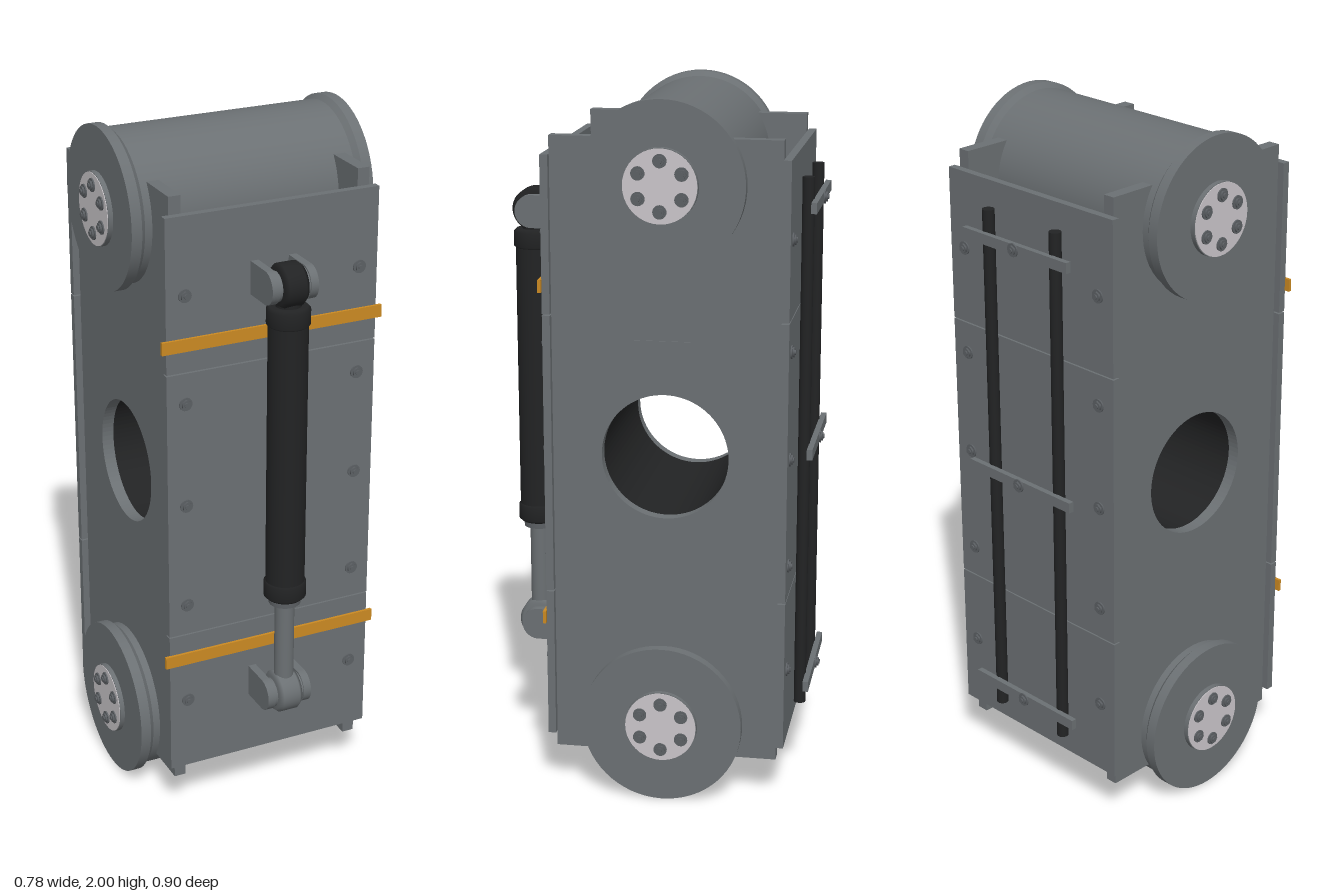
import * as THREE from 'three';

const mat = (name, color) => {
  const m = new THREE.MeshStandardMaterial({ color });
  m.name = name;
  return m;
};

export function createModel() {
  const steel = mat('grey steel', 0x6b7073);
  const fixing = mat('dark fixing grey', 0x5c6064);
  const black = mat('black', 0x222324);
  const hubLight = mat('pale hub metal', 0xcac6ca);
  const orange = mat('orange band', 0xcb8a22);

  const root = new THREE.Group();
  root.name = 'twinDrumUnit';
  const CZ = -0.04; // drum and hole axis

  const add = (name, geo, material, x = 0, y = 0, z = 0, parent = root) => {
    const m = new THREE.Mesh(geo, material);
    m.name = name;
    m.position.set(x, y, z);
    parent.add(m);
    return m;
  };
  const box = (name, material, x0, x1, y0, y1, z0, z1) =>
    add(name, new THREE.BoxGeometry(x1 - x0, y1 - y0, z1 - z0), material,
      (x0 + x1) / 2, (y0 + y1) / 2, (z0 + z1) / 2);
  const cylX = (r, w, seg = 40) => new THREE.CylinderGeometry(r, r, w, seg).rotateZ(Math.PI / 2);
  const cylZ = (r, w, seg = 20) => new THREE.CylinderGeometry(r, r, w, seg).rotateX(Math.PI / 2);

  // Extrudes a z-y outline along x from x0 to x1
  const slabX = (shape, x0, x1) =>
    new THREE.ExtrudeGeometry(shape, { depth: x1 - x0, bevelEnabled: false, curveSegments: 40 })
      .rotateY(-Math.PI / 2).translate(x1, 0, 0);
  const holedRect = (z0, z1, y0, y1) => {
    const s = new THREE.Shape();
    s.moveTo(z0, y0); s.lineTo(z1, y0); s.lineTo(z1, y1); s.lineTo(z0, y1); s.closePath();
    const hole = new THREE.Path();
    hole.absarc(CZ, 1.005, 0.178, 0, Math.PI * 2, true);
    s.holes.push(hole);
    return s;
  };

  // Washer, hex nut and stud, pointing along +y before it is turned
  const bolt = (name, x, y, z, axis, dir) => {
    const g = new THREE.Group();
    g.name = name;
    [[0.019, 0.004, 20, 0.002], [0.014, 0.007, 6, 0.006], [0.007, 0.013, 12, 0.0065]].forEach(([r, h, n, c], i) =>
      add(['washer', 'nut', 'stud'][i], new THREE.CylinderGeometry(r, r, h, n), fixing, 0, c, 0, g));
    if (axis === 'x') g.rotation.z = -dir * Math.PI / 2;
    else g.rotation.x = dir * Math.PI / 2;
    g.position.set(x, y, z);
    root.add(g);
  };

  // Side plates with round window, and the black core between them
  const side = holedRect(-0.36, 0.277, 0.12, 1.89);
  add('leftSidePlate', slabX(side, 0.26, 0.295), steel);
  add('rightSidePlate', slabX(side, -0.295, -0.26), steel);
  add('core', slabX(holedRect(-0.352, 0.265, 0.42, 1.59), -0.26, 0.26), black);
  box('sideTag', steel, 0.294, 0.298, 1.215, 1.335, -0.125, 0.045);

  // Front and back covers, each in three panels with narrow seams
  for (const [name, z0, z1] of [['frontPanel', 0.276, 0.298], ['backPanel', -0.383, -0.361]])
    for (const [y0, y1] of [[0.165, 0.598], [0.602, 1.398], [1.402, 1.84]])
      box(name, steel, -0.315, 0.315, y0, y1, z0, z1);
  for (const x of [-0.26, 0.26])
    for (const y of [0.385, 0.695, 1.005, 1.31, 1.62]) {
      bolt('frontBolt', x, y, 0.298, 'z', 1);
      bolt('backBolt', x, y, -0.383, 'z', -1);
    }

  // Orange bands
  for (const y of [0.524, 1.482])
    box('band', orange, -0.33, 0.33, y - 0.018, y + 0.018, 0.297, 0.306);

  // Drums with flanges, hubs and hub bolts
  const profile = [[0, -0.36], [0.228, -0.36], [0.228, -0.33], [0.214, -0.316],
    [0.214, 0.316], [0.228, 0.33], [0.228, 0.36], [0, 0.36]];
  // Separate lathe for each profile step keeps the edges sharp
  for (const cy of [0.232, 1.772]) {
    const drum = new THREE.Group();
    drum.name = 'drum';
    drum.position.set(0, cy, CZ);
    root.add(drum);
    for (let i = 0; i < profile.length - 1; i++) {
      const pts = [profile[i], profile[i + 1]].map(p => new THREE.Vector2(...p));
      add('drumShell', new THREE.LatheGeometry(pts, 64).rotateZ(Math.PI / 2), steel, 0, 0, 0, drum);
    }
    for (const s of [-1, 1]) {
      add('hub', cylX(0.103, 0.02), steel, s * 0.364, 0, 0, drum);
      add('hubFace', cylX(0.101, 0.004), hubLight, s * 0.374, 0, 0, drum);
      for (let i = 0; i < 6; i++) {
        const a = Math.PI / 2 + i * Math.PI / 3;
        bolt('hubBolt', s * 0.376, cy + 0.068 * Math.sin(a), CZ + 0.068 * Math.cos(a), 'x', s);
      }
    }
  }

  // Hydraulic ram on the front
  const RZ = 0.388;
  const cylY = (name, m, r, y0, y1) =>
    add(name, new THREE.CylinderGeometry(r, r, y1 - y0, 36), m, 0, (y0 + y1) / 2, RZ);
  cylY('ramBarrel', black, 0.055, 0.72, 1.575);
  for (const [y0, y1] of [[0.708, 0.765], [1.525, 1.582]]) {
    const h = y1 - y0, c = 0.008;
    const pts = [[0, 0], [0.06 - c, 0], [0.06, c], [0.06, h - c], [0.06 - c, h], [0, h]];
    add('ramCap', new THREE.LatheGeometry(pts.map(p => new THREE.Vector2(...p)), 36), black, 0, y0, RZ);
  }
  cylY('ramGland', fixing, 0.045, 0.69, 0.71);
  cylY('ramRod', steel, 0.028, 0.4, 0.7);
  cylY('ramNeck', black, 0.035, 1.575, 1.64);
  for (const y of [0.75, 1.545]) add('ramPort', cylZ(0.014, 0.05), black, 0, y, 0.325);

  // Ram eyes, pins and rounded lugs
  for (const [cy, m] of [[0.4, steel], [1.64, black]]) {
    const eye = [[0, -0.036], [0.052, -0.036], [0.061, -0.025], [0.061, 0.025], [0.052, 0.036], [0, 0.036]];
    add('ramEye', new THREE.LatheGeometry(eye.map(p => new THREE.Vector2(...p)), 36).rotateZ(Math.PI / 2),
      m, 0, cy, RZ - 0.003);
    add('ramPin', cylX(0.042, 0.1, 28), steel, 0, cy, RZ - 0.003);
    const lug = new THREE.Shape();
    lug.moveTo(0.296, -0.047);
    lug.lineTo(0.383, -0.047);
    lug.absarc(0.383, 0, 0.047, -Math.PI / 2, Math.PI / 2, false);
    lug.lineTo(0.296, 0.047);
    lug.closePath();
    for (const x of [-0.068, 0.045]) add('ramLug', slabX(lug, x, x + 0.023), steel, 0, cy, 0);
  }

  // Black pipes and clamp bars on the back
  for (const x of [-0.129, 0.129])
    add('pipe', new THREE.CylinderGeometry(0.017, 0.017, 1.535, 20), black, x, 1.003, -0.409);
  for (const y of [0.31, 1.003, 1.695]) {
    box('clampBar', steel, -0.201, 0.201, y - 0.015, y + 0.015, -0.44, -0.424);
    bolt('clampBolt', 0, y, -0.44, 'z', -1);
  }
  return root;
}
